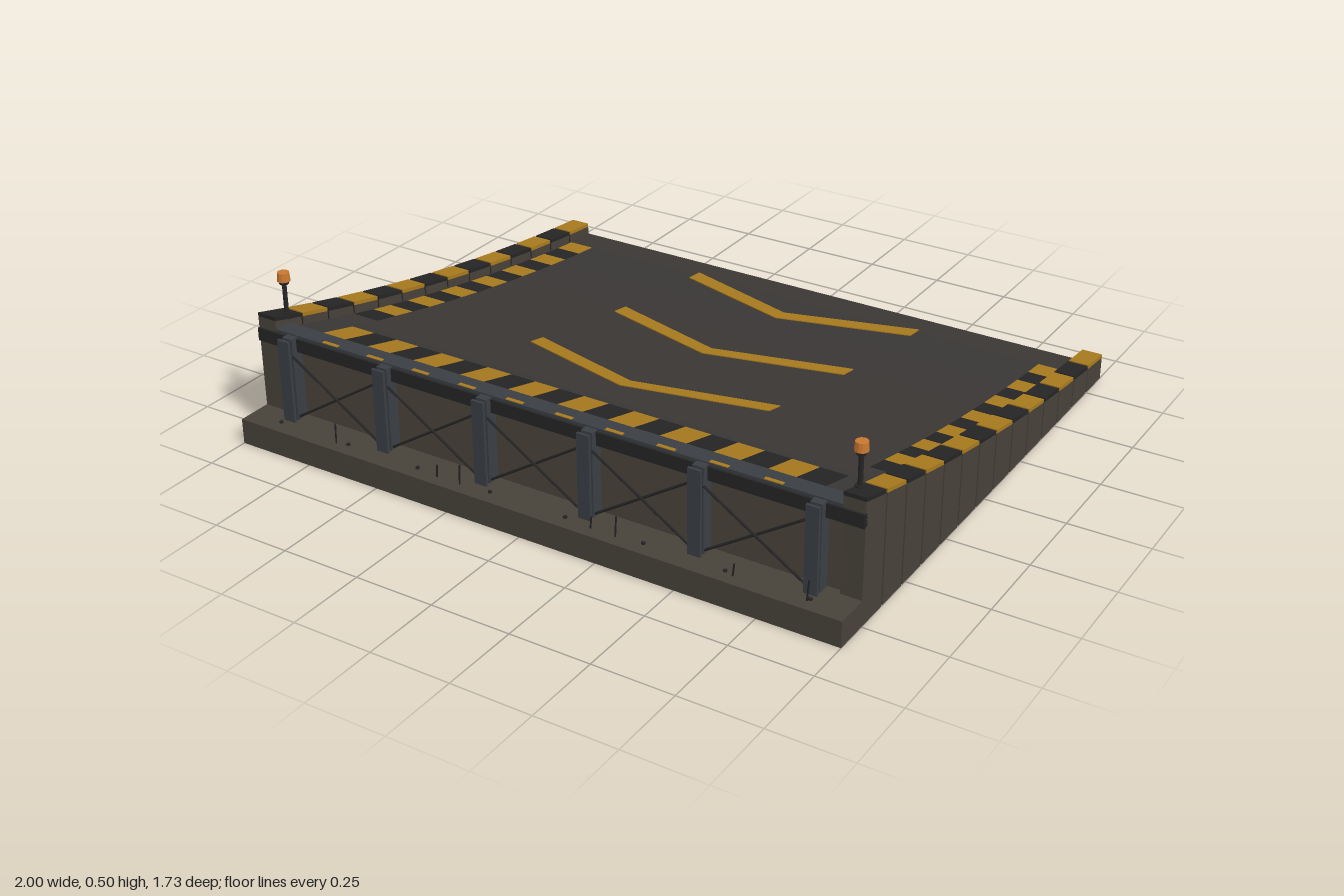
import * as THREE from 'three';

const mat = (color) => new THREE.MeshStandardMaterial({ color, flatShading: true });
const BACK = -0.865, WALL = 0.75, N = 14, STEP = (WALL - BACK) / N;

// Height of the curbs and of the road deck along z
const curbY = (z) => {
  const u = (z - BACK) / (WALL - BACK);
  return 0.083 + 0.146 * u + 0.156 * u * u;
};
const deckY = (z) => curbY(z) - 0.038;

export function createModel() {
  const root = new THREE.Group();
  root.name = 'ramp';
  const concrete = mat(0x47423a), seam = mat(0x24211d), asphalt = mat(0x3a3735);
  const steel = mat(0x3a3e44), dark = mat(0x252526), yellow = mat(0xa87a1e);
  const under = mat(0x2c2a26), orange = mat(0xc87830), wallMat = mat(0x4a453b);

  const group = (name) => {
    const g = new THREE.Group();
    g.name = name;
    root.add(g);
    return g;
  };
  const add = (parent, name, geometry, material) => {
    const m = new THREE.Mesh(geometry, material);
    m.name = name;
    parent.add(m);
    return m;
  };
  // Box given by its limits
  const box = (parent, name, material, x0, x1, y0, y1, z0, z1) => {
    const m = add(parent, name, new THREE.BoxGeometry(x1 - x0, y1 - y0, z1 - z0), material);
    m.position.set((x0 + x1) / 2, (y0 + y1) / 2, (z0 + z1) / 2);
    return m;
  };
  // Side profile between two height rules, extruded across x
  const slab = (parent, name, material, x0, x1, z0, z1, low, high, n = 1) => {
    const pts = [];
    for (let i = 0; i <= n; i++) {
      const z = z0 + ((z1 - z0) * i) / n;
      pts.unshift(new THREE.Vector2(z, high(z)));
      pts.push(new THREE.Vector2(z, low(z)));
    }
    const g = new THREE.ExtrudeGeometry(new THREE.Shape(pts), { depth: x1 - x0, bevelEnabled: false });
    g.rotateY(-Math.PI / 2).translate(x1, 0, 0);
    return add(parent, name, g, material);
  };
  const paint = (parent, name, material, x0, x1, z0, z1) =>
    slab(parent, name, material, x0, x1, z0, z1, (z) => deckY(z) - 0.004, (z) => deckY(z) + 0.002, 2);

  // Road deck and front plinth
  slab(root, 'deck', asphalt, -0.935, 0.935, BACK, 0.72, () => 0.01, deckY, N);
  box(root, 'plinth', concrete, -1, 1, 0, 0.08, WALL - 0.02, 0.86);

  // Underside planks
  const planks = group('undersidePlanks');
  for (let i = 0; i < N; i++) {
    const z = BACK + i * STEP;
    box(planks, 'plank', under, -0.935, 0.935, 0, 0.02, z + 0.003, z + STEP - 0.003);
  }

  // Side walls of panels with dark seams and striped curb caps
  for (const s of [-1, 1]) {
    const side = group(s > 0 ? 'leftSide' : 'rightSide');
    const span = (a, b) => (s > 0 ? [a, b] : [-b, -a]);
    slab(side, 'seamCore', seam, ...span(0.938, 0.994), BACK + 0.004, WALL - 0.004, () => 0.003, (z) => curbY(z) - 0.004, N);
    for (let i = 0; i < N; i++) {
      const z0 = BACK + i * STEP + (i ? 0.004 : 0);
      const z1 = BACK + (i + 1) * STEP - (i < N - 1 ? 0.004 : 0);
      slab(side, 'sidePanel', concrete, ...span(0.935, 1), z0, z1, () => 0, (z) => curbY(z) - 0.012);
      slab(side, 'curbCap', i % 2 ? dark : yellow, ...span(0.935, 1), z0, z1, (z) => curbY(z) - 0.012, curbY);
    }
    // Edge stripes painted on the deck
    for (let i = 0; i < N; i++) {
      const z = -0.745 + i * 0.0825;
      paint(side, 'edgeStripe', i % 2 ? dark : yellow, ...span(0.84, 0.925), z, z + 0.0825);
    }
    // Warning lamp
    const lamp = group(s > 0 ? 'leftLamp' : 'rightLamp');
    lamp.position.set(s * 0.948, 0, 0.685);
    const turn = (name, material, r0, r1, y0, y1) => {
      add(lamp, name, new THREE.CylinderGeometry(r1, r0, y1 - y0, 12), material).position.y = (y0 + y1) / 2;
    };
    turn('lampFoot', dark, 0.016, 0.014, 0.355, 0.375);
    turn('lampPole', dark, 0.007, 0.007, 0.37, 0.472);
    turn('lampCollar', dark, 0.014, 0.017, 0.465, 0.478);
    turn('lampLens', orange, 0.02, 0.018, 0.475, 0.502);
  }

  // Stop stripes near the high edge
  const stripes = group('stopStripes');
  for (let i = 0; i < 20; i++) {
    const x = -0.835 + i * 0.0835;
    paint(stripes, 'stopStripe', i % 2 ? dark : yellow, x, x + 0.0835, 0.53, 0.68);
  }

  // Chevrons draped over the deck
  const chevrons = group('chevrons');
  for (let i = 0; i < 3; i++) {
    const z = -0.77 + i * 0.457;
    const outline = [[-0.415, 0], [-0.415, 0.065], [0, 0.21], [0.415, 0.065], [0.415, 0], [0, 0.15]];
    const shape = new THREE.Shape(outline.map(([x, dz]) => new THREE.Vector2(x, -z - dz)));
    const g = new THREE.ExtrudeGeometry(shape, { depth: 0.006, bevelEnabled: false });
    g.rotateX(-Math.PI / 2);
    const p = g.attributes.position;
    for (let k = 0; k < p.count; k++) p.setY(k, p.getY(k) + deckY(p.getZ(k)) - 0.003);
    g.computeVertexNormals();
    add(chevrons, 'chevron', g, yellow);
  }

  // Front wall, top beam and its reflective marks
  const front = group('frontTruss');
  box(front, 'frontWall', wallMat, -0.935, 0.935, 0.02, 0.3, 0.7, 0.735);
  box(front, 'topBeam', steel, -0.935, 0.935, 0.3, 0.347, 0.695, 0.75);
  box(front, 'beamFace', dark, -1, 1, 0.297, 0.338, 0.74, 0.757);
  for (let i = 0; i < 10; i++) {
    const x = -0.735 + i * 0.163;
    box(front, 'beamMark', yellow, x - 0.028, x + 0.028, 0.34, 0.349, 0.736, 0.748);
  }

  // Posts with flanges, and crossed braces in each bay
  const postX = [0, 1, 2, 3, 4, 5].map((i) => -0.872 + i * 0.3488);
  const rod = (a, b, r, name) => {
    const dir = b.clone().sub(a);
    const m = add(front, name, new THREE.CylinderGeometry(r, r, dir.length(), 6), dark);
    m.position.copy(a).add(b).multiplyScalar(0.5);
    m.quaternion.setFromUnitVectors(new THREE.Vector3(0, 1, 0), dir.normalize());
  };
  postX.forEach((x, i) => {
    box(front, 'postBack', steel, x - 0.018, x + 0.018, 0.08, 0.343, 0.735, 0.775);
    box(front, 'postFlange', steel, x - 0.02, x + 0.02, 0.08, 0.343, 0.786, 0.795);
    box(front, 'postWeb', steel, x - 0.006, x + 0.006, 0.08, 0.2, 0.774, 0.787);
    if (i === 5) return;
    const l = x + 0.018, r = postX[i + 1] - 0.018;
    rod(new THREE.Vector3(l, 0.09, 0.768), new THREE.Vector3(r, 0.29, 0.768), 0.004, 'brace');
    rod(new THREE.Vector3(l, 0.29, 0.776), new THREE.Vector3(r, 0.09, 0.776), 0.004, 'brace');
  });

  // Bent bars and bolts on the plinth
  [-0.665, -0.3, -0.22, 0.22, 0.3, 0.665, 0.885].forEach((x, i) => {
    const top = i % 2 ? 0.125 : 0.15;
    rod(new THREE.Vector3(x - 0.006, 0.078, 0.823), new THREE.Vector3(x + 0.004, top, 0.832), 0.0025, 'bentBar');
  });
  for (let i = 0; i < 8; i++) {
    const bolt = add(front, 'bolt', new THREE.CylinderGeometry(0.006, 0.006, 0.008, 6), dark);
    bolt.position.set(-0.886 + i * 0.253, 0.082, 0.815);
  }
  return root;
}
